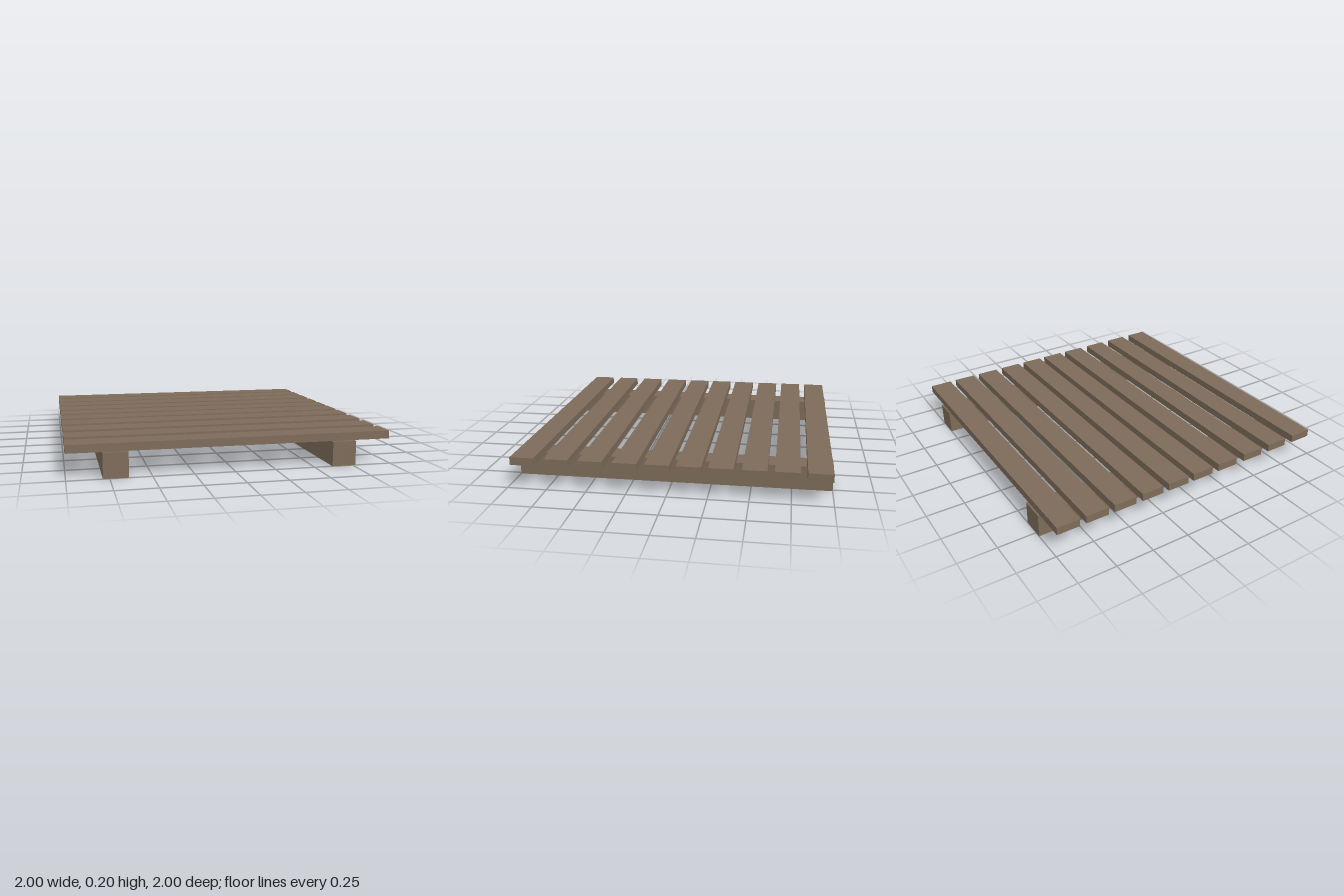
import * as THREE from 'three';

export function createModel() {
  const model = new THREE.Group();
  model.name = 'slattedPlatform';

  const wood = new THREE.MeshStandardMaterial({ color: 0x7d6b59 });
  wood.name = 'weathered wood';

  const beamSize = 0.15;
  const plankThickness = 0.05;
  const plankWidth = 0.15;

  const addBox = (name, w, h, d, x, y, z) => {
    const mesh = new THREE.Mesh(new THREE.BoxGeometry(w, h, d), wood);
    mesh.name = name;
    mesh.position.set(x, y, z);
    model.add(mesh);
  };

  // Two bearer beams running front to back, slightly off centre
  addBox('leftBeam', beamSize, 0.153, 2, 0.692, 0.0765, 0);
  addBox('rightBeam', beamSize, 0.153, 2, -0.714, 0.0765, 0);

  // Ten planks laid across the beams with uneven gaps
  const plankZ = [-0.913, -0.721, -0.528, -0.329, -0.137, 0.055, 0.253, 0.467, 0.681, 0.897];
  plankZ.forEach((z, i) =>
    addBox(`plank${i + 1}`, 2, plankThickness, plankWidth, 0, 0.153 + plankThickness / 2, z));

  return model;
}
